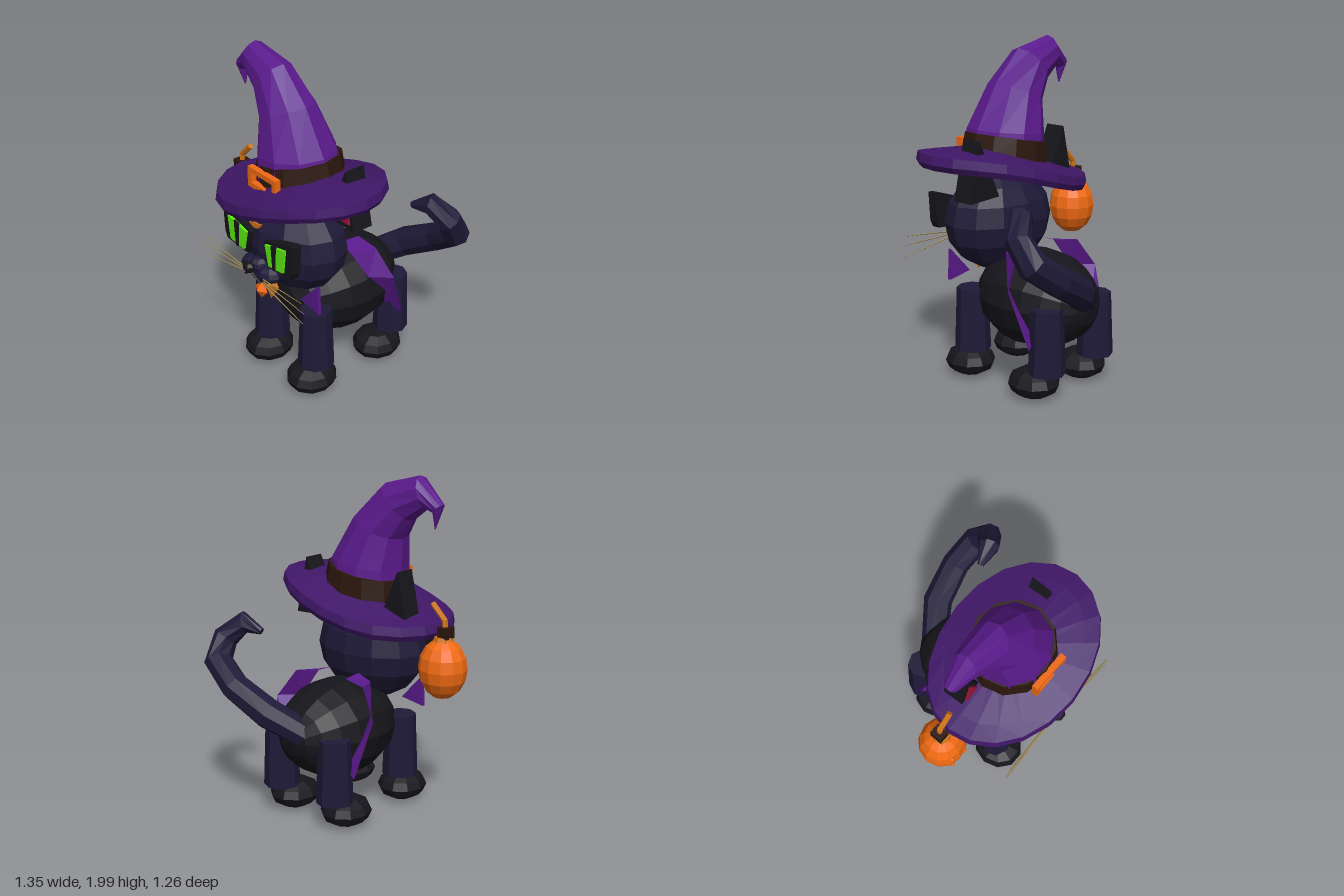
import * as THREE from 'three';

const mat = (color) => new THREE.MeshStandardMaterial({ color, flatShading: true, side: THREE.DoubleSide });
const M = {
  navy: mat(0x1f1a38), black: mat(0x15151b), purple: mat(0x5a1a8c), brim: mat(0x401768), brown: mat(0x2b170d),
  orange: mat(0xf06a12), amber: mat(0xd0741a), green: mat(0x5cf010), red: mat(0xa01238), tan: mat(0x9a8550),
};

function add(parent, name, geo, material, pos = [0, 0, 0], scale = [1, 1, 1]) {
  const m = new THREE.Mesh(geo, material);
  m.name = name;
  m.position.set(...pos);
  m.scale.set(...scale);
  parent.add(m);
  return m;
}

// Flat outline in the xy plane, thickened along z
function slab(points, z, depth) {
  const shape = new THREE.Shape(points.map(([x, y]) => new THREE.Vector2(x, y)));
  return new THREE.ExtrudeGeometry(shape, { depth, bevelEnabled: false }).translate(0, 0, z);
}

// Straight rod between two points
function rod(a, b, r0, r1, sides) {
  const A = new THREE.Vector3(...a), B = new THREE.Vector3(...b);
  const d = B.clone().sub(A);
  const geo = new THREE.CylinderGeometry(r1, r0, d.length(), sides);
  geo.applyQuaternion(new THREE.Quaternion().setFromUnitVectors(new THREE.Vector3(0, 1, 0), d.normalize()));
  const c = A.add(B).multiplyScalar(0.5);
  return geo.translate(c.x, c.y, c.z);
}

// Closed skin through elliptical rings { c, u, v } where u x v points along the path
function loft(rings, sides) {
  const pos = [], idx = [], n = rings.length;
  for (const { c, u, v } of rings) {
    for (let i = 0; i < sides; i++) {
      const a = (i / sides) * Math.PI * 2;
      const p = c.clone().addScaledVector(u, Math.cos(a)).addScaledVector(v, Math.sin(a));
      pos.push(p.x, p.y, p.z);
    }
  }
  for (let j = 0; j < n - 1; j++) {
    for (let i = 0; i < sides; i++) {
      const a = j * sides + i, b = j * sides + ((i + 1) % sides);
      idx.push(a, b, b + sides, a, b + sides, a + sides);
    }
  }
  const last = (n - 1) * sides;
  for (let i = 1; i < sides - 1; i++) idx.push(0, i + 1, i, last, last + i, last + i + 1);
  const geo = new THREE.BufferGeometry();
  geo.setAttribute('position', new THREE.Float32BufferAttribute(pos, 3));
  geo.setIndex(idx);
  geo.computeVertexNormals();
  return geo;
}

// Hat rings from the left and right outline points and a half depth
const hatRings = (rows, z) => rows.map(([x0, y0, x1, y1, d]) => ({
  c: new THREE.Vector3((x0 + x1) / 2, (y0 + y1) / 2, z),
  u: new THREE.Vector3((x1 - x0) / 2, (y1 - y0) / 2, 0),
  v: new THREE.Vector3(0, 0, -d),
}));

function buildHat(cat) {
  const hat = new THREE.Group();
  hat.name = 'hat';
  cat.add(hat);
  // Wavy oval brim with a drooping lip
  const profile = [[0.35, 0.02], [0.8, 0.0], [0.96, -0.055], [1, -0.02], [0.98, 0.03], [0.8, 0.045], [0.35, 0.09]];
  const brim = new THREE.LatheGeometry(profile.map(([r, y]) => new THREE.Vector2(r, y)), 20);
  const p = brim.attributes.position;
  for (let i = 0; i < p.count; i++) {
    const x = p.getX(i) * 0.56, z = p.getZ(i);
    p.setXYZ(i, x, p.getY(i) + 1.265 + 0.105 * Math.sin(2.8 * x) - 0.02 * z * z, 0.2 + z * 0.43);
  }
  brim.computeVertexNormals();
  add(hat, 'hatBrim', brim, M.brim);
  // Crown bending over into a hooked tip
  add(hat, 'hatCrown', loft(hatRings([
    [-0.25, 1.28, 0.24, 1.37, 0.24], [-0.25, 1.45, 0.21, 1.5, 0.225], [-0.26, 1.63, 0.06, 1.75, 0.165],
    [-0.33, 1.74, -0.13, 1.94, 0.115], [-0.43, 1.815, -0.38, 2.0, 0.075], [-0.475, 1.8, -0.535, 1.85, 0.04],
    [-0.483, 1.71, -0.487, 1.712, 0.004],
  ], 0.2), 10), M.purple);
  add(hat, 'hatBand', loft(hatRings([
    [-0.265, 1.27, 0.26, 1.37, 0.25], [-0.255, 1.39, 0.23, 1.485, 0.24],
  ], 0.195), 12), M.brown);
  const buckle = new THREE.Group();
  buckle.name = 'hatBuckle';
  buckle.position.set(0, 1.36, 0.448);
  hat.add(buckle);
  for (const s of [-1, 1]) {
    add(buckle, 'buckleSide', new THREE.BoxGeometry(0.03, 0.12, 0.036), M.orange, [s * 0.108, 0, 0]);
    add(buckle, 'buckleBar', new THREE.BoxGeometry(0.24, 0.03, 0.036), M.orange, [0, s * 0.046, 0]);
  }
}

function buildTail(cat) {
  const path = [[-0.05, 0.55, -0.38, 0.08], [0.14, 0.68, -0.51, 0.09], [0.36, 0.8, -0.55, 0.085],
    [0.53, 0.92, -0.52, 0.085], [0.55, 1.04, -0.44, 0.075], [0.46, 1.135, -0.37, 0.065], [0.35, 1.09, -0.34, 0.02]];
  const pts = path.map((q) => new THREE.Vector3(q[0], q[1], q[2]));
  const side = new THREE.Vector3(0, 0.45, -1).normalize();
  const rings = pts.map((c, i) => {
    const t = pts[Math.min(i + 1, pts.length - 1)].clone().sub(pts[Math.max(i - 1, 0)]).normalize();
    const u = new THREE.Vector3().crossVectors(side, t).normalize();
    const v = new THREE.Vector3().crossVectors(t, u);
    return { c, u: u.multiplyScalar(path[i][3]), v: v.multiplyScalar(path[i][3]) };
  });
  add(cat, 'tail', loft(rings, 8), M.navy);
}

// Everything that exists once on each side, built for +x
function buildSide(g) {
  for (const [name, z, pawZ] of [['front', 0.26, 0.29], ['rear', -0.335, -0.23]]) {
    add(g, name + 'Leg', new THREE.CylinderGeometry(0.092, 0.108, 0.38, 8), M.navy, [0.21, 0.37, z]);
    add(g, name + 'Paw', new THREE.SphereGeometry(1, 10, 6), M.black, [0.205, 0.097, pawZ], [0.145, 0.09, 0.157]);
  }
  // Ears
  add(g, 'ear', slab([[0.2, 1.14], [0.425, 1.13], [0.348, 1.475]], 0.04, 0.13), M.black);
  add(g, 'innerEar', slab([[0.235, 1.17], [0.395, 1.17], [0.338, 1.39]], 0.17, 0.012), M.red);
  // Slanted eyes
  add(g, 'eyeFrame', slab([[0.32, 1.115], [0.29, 1.115], [0.06, 1.04], [0.065, 0.98], [0.1, 0.89], [0.29, 0.9], [0.31, 0.94]], 0.45, 0.055), M.black);
  add(g, 'eye', slab([[0.26, 1.075], [0.085, 1.035], [0.115, 0.91], [0.24, 0.925]], 0.5, 0.02), M.green);
  add(g, 'pupil', slab([[0.19, 1.07], [0.15, 1.06], [0.16, 0.91], [0.178, 0.91]], 0.515, 0.012), M.black);
  // Muzzle and whiskers
  add(g, 'muzzlePuff', new THREE.SphereGeometry(1, 8, 6), M.navy, [0.07, 0.825, 0.48], [0.085, 0.055, 0.07]);
  add(g, 'mouthLine', rod([0, 0.835, 0.555], [0.07, 0.785, 0.545], 0.01, 0.006, 5), M.black);
  for (const [y0, x1, y1] of [[0.825, 0.45, 0.86], [0.81, 0.475, 0.805], [0.795, 0.465, 0.735]]) {
    add(g, 'whisker', rod([0.1, y0, 0.545], [x1, y1, 0.56], 0.005, 0.002, 4), M.tan);
  }
  // Collar point
  add(g, 'collarPoint', slab([[0.32, 0.8], [0.17, 0.64], [0.33, 0.615]], 0.32, 0.02), M.purple);
  // Cape wing: a strip from the body out to its free edge
  const inner = [[0.1, 0.85, 0], [0.2, 0.82, -0.01], [0.27, 0.66, -0.085], [0.24, 0.36, -0.27]];
  const outer = [[0.12, 0.85, -0.14], [0.26, 0.83, -0.15], [0.375, 0.66, -0.195], [0.335, 0.34, -0.31]];
  const pos = [], idx = [];
  inner.forEach((f, i) => {
    pos.push(...f, ...outer[i]);
    if (i < inner.length - 1) idx.push(2 * i, 2 * i + 2, 2 * i + 1, 2 * i + 1, 2 * i + 2, 2 * i + 3);
  });
  const cape = new THREE.BufferGeometry();
  cape.setAttribute('position', new THREE.Float32BufferAttribute(pos, 3));
  cape.setIndex(idx);
  cape.computeVertexNormals();
  add(g, 'cape', cape, M.purple);
}

function buildLantern(cat) {
  const g = new THREE.Group();
  g.name = 'hangingLantern';
  g.position.set(-0.58, 0, 0.17);
  cat.add(g);
  add(g, 'lanternBulb', new THREE.SphereGeometry(1, 12, 8), M.orange, [0, 0.935, 0], [0.143, 0.178, 0.138]);
  add(g, 'lanternCollar', new THREE.CylinderGeometry(0.05, 0.062, 0.03, 8), M.amber, [0, 1.105, 0]);
  add(g, 'lanternCap', new THREE.BoxGeometry(0.065, 0.065, 0.075), M.brown, [-0.015, 1.145, 0]);
  add(g, 'lanternStem', rod([-0.01, 1.17, 0], [-0.005, 1.22, 0], 0.017, 0.017, 6), M.amber);
  add(g, 'lanternHook', rod([-0.01, 1.21, 0], [0.08, 1.3, 0], 0.017, 0.017, 6), M.amber);
  for (const [x, y, z] of [[-0.05, 0.98, 0.118], [0.05, 0.895, 0.118], [-0.045, 0.855, 0.11]]) {
    add(g, 'lanternBump', new THREE.SphereGeometry(0.018, 6, 5), M.orange, [x, y, z]);
  }
}

export function createModel() {
  const root = new THREE.Group();
  const cat = new THREE.Group();
  cat.name = 'cat';
  cat.position.x = 0.05;
  root.add(cat);

  add(cat, 'body', new THREE.SphereGeometry(1, 14, 10).rotateX(Math.PI / 2), M.black, [0, 0.525, -0.075], [0.31, 0.29, 0.395]);
  add(cat, 'head', new THREE.SphereGeometry(1, 12, 8), M.navy, [0, 0.95, 0.245], [0.365, 0.305, 0.26]);
  add(cat, 'nose', new THREE.SphereGeometry(1, 6, 5), M.black, [0, 0.87, 0.57], [0.042, 0.034, 0.03]);
  add(cat, 'noseBridge', new THREE.SphereGeometry(1, 8, 6), M.navy, [0, 0.86, 0.49], [0.06, 0.05, 0.07]);
  add(cat, 'chin', new THREE.SphereGeometry(1, 8, 6), M.navy, [0, 0.775, 0.45], [0.09, 0.05, 0.07]);

  // Crescent on the forehead
  const moon = new THREE.Shape();
  moon.moveTo(-0.08, 1.225);
  moon.quadraticCurveTo(-0.115, 1.12, -0.03, 1.095);
  moon.quadraticCurveTo(0.025, 1.09, 0.05, 1.14);
  moon.quadraticCurveTo(-0.01, 1.115, -0.045, 1.14);
  moon.quadraticCurveTo(-0.08, 1.17, -0.08, 1.225);
  add(cat, 'foreheadCrescent', new THREE.ExtrudeGeometry(moon, { depth: 0.012, bevelEnabled: false, curveSegments: 5 }), M.amber, [0, 0, 0.5]);

  // Pendant under the chin
  add(cat, 'pendant', new THREE.OctahedronGeometry(1), M.orange, [0, 0.685, 0.487], [0.055, 0.058, 0.034]);
  add(cat, 'pendantDrop', new THREE.ConeGeometry(0.075, 0.11, 4).rotateX(Math.PI), M.amber, [0, 0.645, 0.42], [1, 1, 0.5]);

  for (const s of [1, -1]) {
    const side = new THREE.Group();
    side.name = s > 0 ? 'leftSide' : 'rightSide';
    side.scale.x = s;
    buildSide(side);
    cat.add(side);
  }
  buildTail(cat);
  buildHat(cat);
  buildLantern(cat);
  return root;
}
